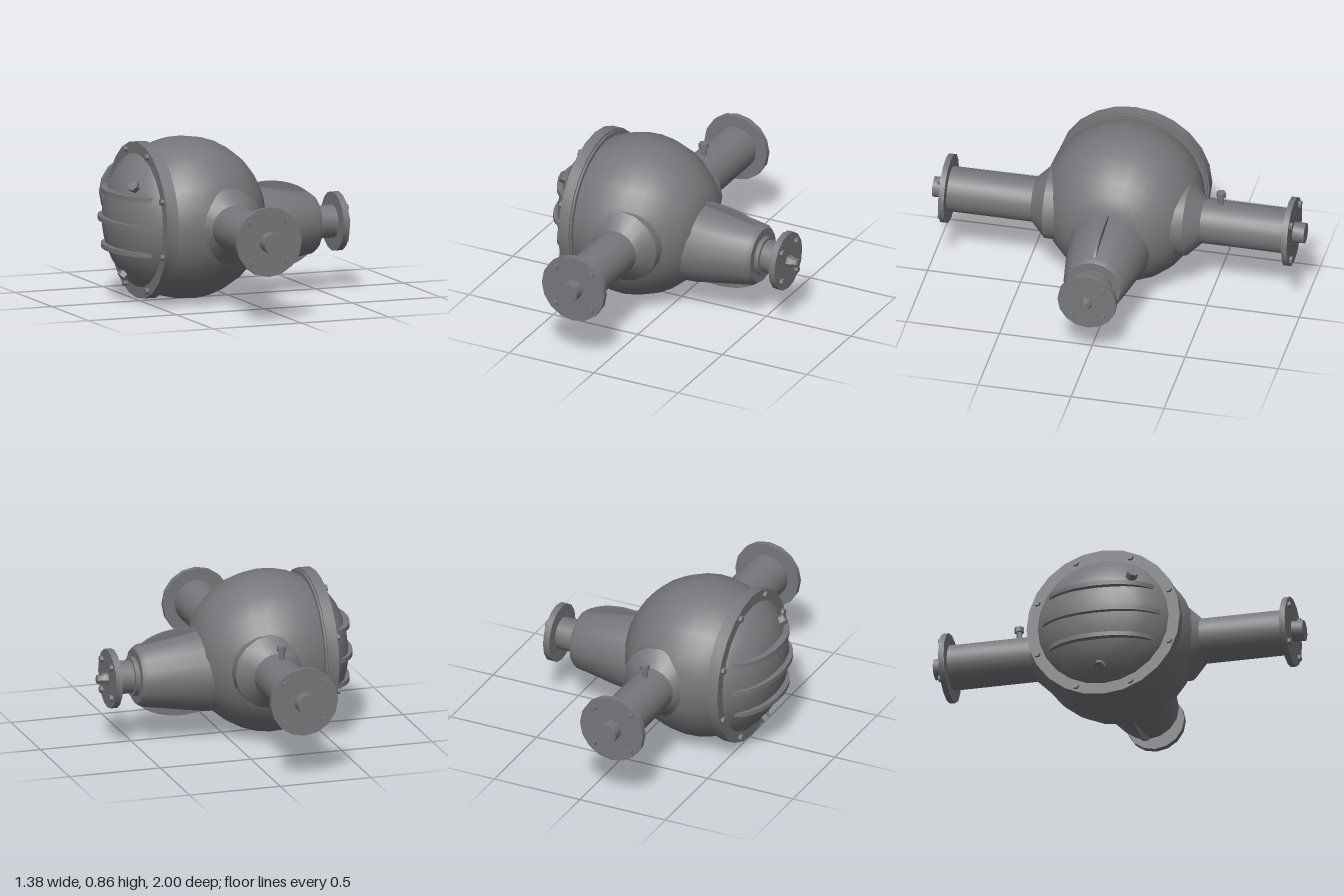
import * as THREE from 'three';
import { toCreasedNormals } from 'three/addons/utils/BufferGeometryUtils.js';

const castIron = new THREE.MeshStandardMaterial({ color: 0x77777b });
castIron.name = 'cast iron grey';

function add(parent, name, geometry, crease = 0.62) {
  const mesh = new THREE.Mesh(toCreasedNormals(geometry, crease), castIron);
  mesh.name = name;
  parent.add(mesh);
  return mesh;
}

// Turned part about local y; profile is a list of [radius, y] going upwards
const turned = (parent, name, profile, sides = 16) =>
  add(parent, name, new THREE.LatheGeometry(profile.map(([r, y]) => new THREE.Vector2(r, y)), sides));

// Closed cylinder from y0 to y1
function disc(parent, name, r, y0, y1, sides = 16) {
  const g = new THREE.CylinderGeometry(r, r, y1 - y0, sides).translate(0, (y0 + y1) / 2, 0);
  return add(parent, name, g);
}

// Ring of hexagonal bolt heads
function bolts(parent, name, count, ring, r, y0, y1) {
  for (let i = 0; i < count; i++) {
    const a = ((i + 0.5) / count) * Math.PI * 2;
    const b = disc(parent, name, r, y0, y1, 6);
    b.position.set(Math.cos(a) * ring, 0, Math.sin(a) * ring);
  }
}

function subgroup(parent, name, x, y, rx, rz) {
  const g = new THREE.Group();
  g.name = name;
  g.position.set(x, y, 0);
  g.rotation.set(rx, 0, rz);
  parent.add(g);
  return g;
}

export function createModel() {
  const model = new THREE.Group();
  model.name = 'axleDifferential';
  const Q = Math.PI / 2;

  // Round main housing, cut off where the cover bolts on
  const housing = subgroup(model, 'housing', -0.25, 0.43, 0, -Q);
  const ball = [];
  for (let i = 0; i <= 9; i++) {
    const a = THREE.MathUtils.lerp(-0.5, 1.14, i / 9);
    ball.push([Math.cos(a) * 0.43, Math.sin(a) * 0.43]);
  }
  ball.push([0, 0.395]);
  turned(housing, 'housingShell', ball, 24);

  // Domed cover with flange, bolts, fins and plugs; local y points to -x
  const cover = subgroup(model, 'cover', 0, 0.43, 0, Q);
  disc(cover, 'housingFlange', 0.405, 0.445, 0.458, 24);
  disc(cover, 'coverFlange', 0.415, 0.455, 0.515, 24);
  turned(cover, 'coverDome', [[0.36, 0.505], [0.345, 0.53], [0.30, 0.57], [0.255, 0.605],
    [0.2, 0.633], [0.1, 0.658], [0, 0.665]], 24);
  bolts(cover, 'coverBolt', 8, 0.385, 0.018, 0.515, 0.533);
  for (const [x, halfWidth, tip] of [[-0.145, 0.29, 0.68], [0, 0.325, 0.692], [0.15, 0.29, 0.68]]) {
    const shape = new THREE.Shape();
    shape.absellipse(0, 0.52, halfWidth, tip - 0.52, 0, Math.PI, false, 0);
    const fin = new THREE.ExtrudeGeometry(shape, { depth: 0.024, bevelEnabled: false, curveSegments: 14 });
    fin.translate(0, 0, -0.012).rotateY(-Q);
    add(cover, 'coverFin', fin).position.x = x;
  }
  for (const [x, y, z] of [[0.205, 0.6, 0.175], [-0.28, 0.585, 0]]) {
    const plug = disc(cover, 'plug', 0.03, -0.03, 0.026, 6);
    plug.position.set(x, y, z);
    const outward = new THREE.Vector3(x, 0.27, z).normalize();
    plug.quaternion.setFromUnitVectors(new THREE.Vector3(0, 1, 0), outward);
  }

  // Tapered pinion nose; local y points to +x
  const pinion = subgroup(model, 'pinion', 0, 0.355, 0, -Q);
  turned(pinion, 'pinionHousing', [[0.225, 0], [0.218, 0.13], [0.165, 0.455], [0.148, 0.48], [0, 0.48]]);
  disc(pinion, 'sealCollar', 0.105, 0.475, 0.505);
  disc(pinion, 'pinionShaft', 0.088, 0.5, 0.6);
  disc(pinion, 'driveFlange', 0.158, 0.595, 0.63);
  bolts(pinion, 'driveFlangeBolt', 4, 0.118, 0.018, 0.63, 0.647);
  disc(pinion, 'pinionStud', 0.018, 0.63, 0.69, 10);
  turned(pinion, 'pinionNut', [[0.034, 0.628], [0.034, 0.645], [0.024, 0.662], [0.024, 0.688], [0, 0.688]], 6);

  // Thin stiffening ribs above and below the nose
  for (const turn of [0, Math.PI]) {
    const shape = new THREE.Shape();
    shape.moveTo(0.13, 0.08);
    shape.lineTo(0.225, 0.1);
    shape.splineThru([[0.236, 0.19], [0.236, 0.26], [0.222, 0.34], [0.195, 0.41], [0.16, 0.46]]
      .map(([x, y]) => new THREE.Vector2(x, y)));
    shape.lineTo(0.13, 0.46);
    const rib = new THREE.ExtrudeGeometry(shape, { depth: 0.014, bevelEnabled: false, curveSegments: 10 });
    rib.translate(0, 0, -0.007);
    add(pinion, 'pinionRib', rib).rotation.y = turn;
  }

  // Axle tubes on both sides; local y points outward along z
  for (const side of [1, -1]) {
    const axle = subgroup(model, side > 0 ? 'frontAxle' : 'backAxle', -0.155, 0.43, side * Q, 0);
    turned(axle, 'axleSocket', [[0.2, 0.15], [0.2, 0.375], [0.12, 0.455]]);
    disc(axle, 'axleTube', 0.12, 0.3, 0.92, 24);
    disc(axle, 'wheelFlange', 0.185, 0.908, 0.938);
    bolts(axle, 'wheelFlangeBolt', 4, 0.15, 0.019, 0.938, 0.953);
    disc(axle, 'axleStub', 0.055, 0.93, 1);
  }

  // Breather valve on the back tube
  const breather = subgroup(model, 'breather', -0.155, 0, 0, 0);
  breather.position.z = -0.545;
  disc(breather, 'breatherStem', 0.015, 0.53, 0.595, 8);
  disc(breather, 'breatherCap', 0.026, 0.592, 0.62, 6);

  return model;
}
